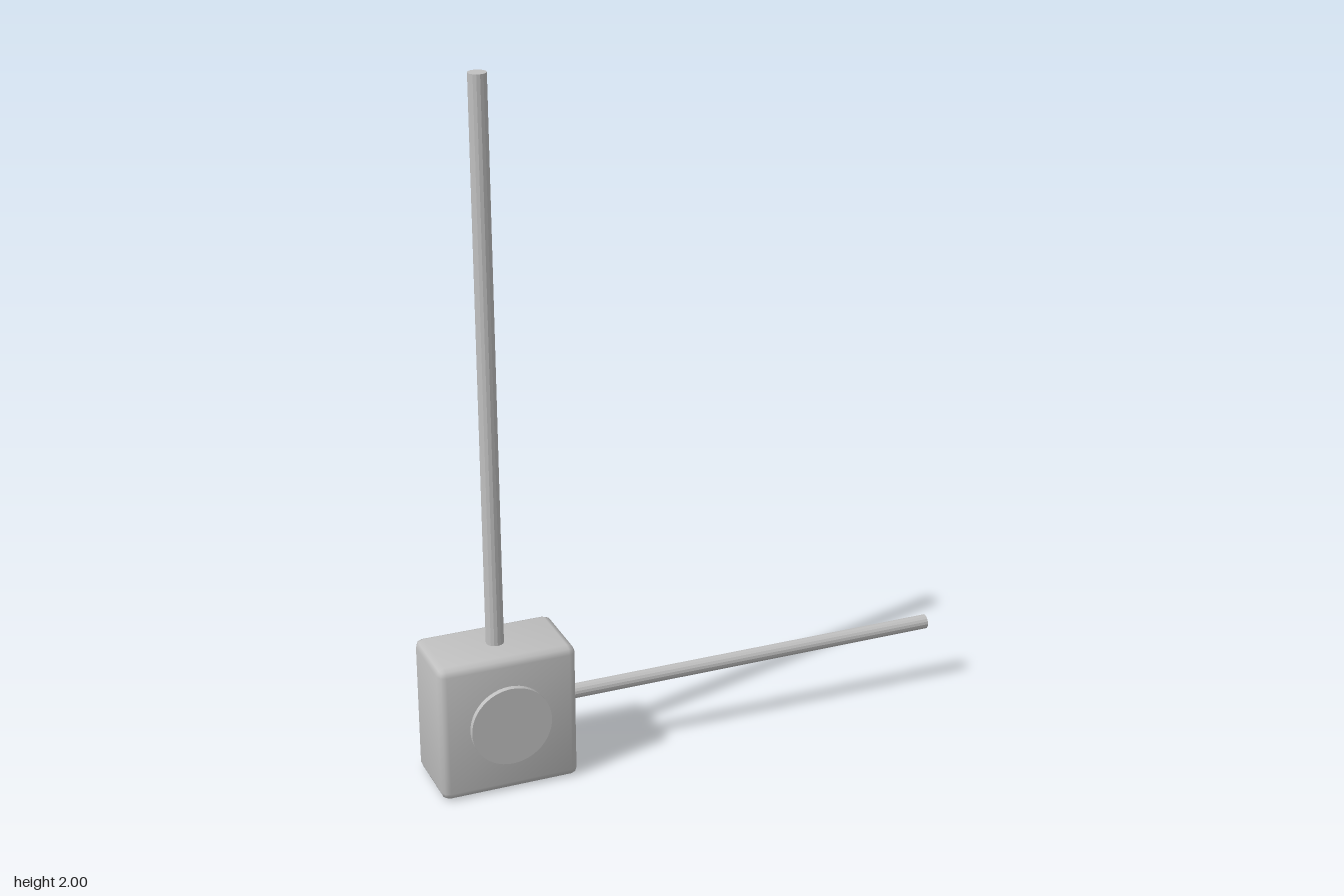
import * as THREE from 'three';
import { RoundedBoxGeometry } from 'three/addons/geometries/RoundedBoxGeometry.js';

const X = -0.57, Y = 0.2, Z = -0.008; // centre of the housing

export function createModel() {
  const model = new THREE.Group();
  const grey = new THREE.MeshStandardMaterial({ color: 0xc0c0c0 });
  grey.name = 'light grey';

  function add(name, geometry, x, y, z) {
    const mesh = new THREE.Mesh(geometry, grey);
    mesh.name = name;
    mesh.position.set(x, y, z);
    model.add(mesh);
    return mesh;
  }

  // Flat-sided rod
  function rod(radius, length) {
    const geometry = new THREE.CylinderGeometry(radius, radius, length, 16).toNonIndexed();
    geometry.computeVertexNormals();
    return geometry;
  }

  // Housing: bevelled box, normals leaning softly towards the corners
  const box = new RoundedBoxGeometry(0.395, 0.4, 0.228, 1, 0.022);
  const p = box.attributes.position, n = box.attributes.normal;
  const v = new THREE.Vector3();
  for (let i = 0; i < p.count; i++) {
    v.fromBufferAttribute(n, i);
    v.x += 0.15 * Math.sign(p.getX(i));
    v.y += 0.15 * Math.sign(p.getY(i));
    v.z += 0.15 * Math.sign(p.getZ(i));
    v.normalize();
    n.setXYZ(i, v.x, v.y, v.z);
  }
  add('housing', box, X, Y, Z);

  // Round front button
  const button = add('button', new THREE.CylinderGeometry(0.115, 0.115, 0.03, 48), X, Y + 0.004, 0.107);
  button.rotation.x = Math.PI / 2;

  // Upright and sideways rods, starting just inside the housing
  add('uprightRod', rod(0.025, 1.62), X, 1.19, Z);
  const side = add('sideRod', rod(0.021, 1.155), 0.1875, Y, Z - 0.002);
  side.rotation.z = -Math.PI / 2;

  return model;
}
